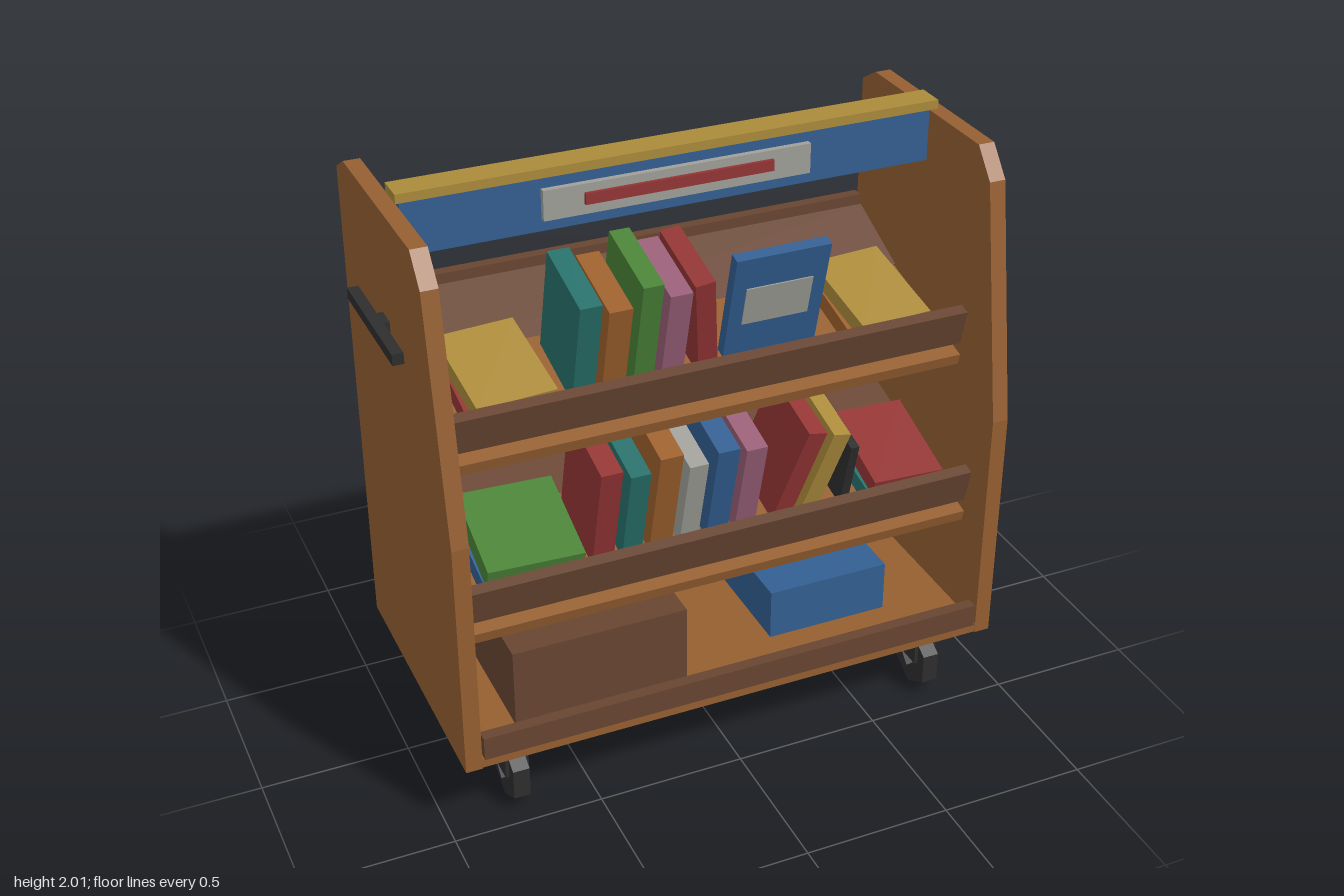
import * as THREE from 'three';

const COLORS = {
  wood: 0x955f31, brown: 0x684532, blue: 0x335f91, gold: 0xab8b3b, red: 0x933534, green: 0x4a8237,
  teal: 0x27706a, orange: 0x9d602c, pink: 0x985f77, pale: 0xa09f99, black: 0x2e2e2e, hub: 0x8a8a8a,
};
const materials = {};
for (const key in COLORS) {
  materials[key] = new THREE.MeshStandardMaterial({ color: COLORS[key], flatShading: true });
}

function addMesh(parent, name, geometry, color) {
  const mesh = new THREE.Mesh(geometry, materials[color]);
  mesh.name = name;
  parent.add(mesh);
  return mesh;
}

// Box given by its [min, max] range on each axis
function addBox(parent, name, color, [x0, x1], [y0, y1], [z0, z1]) {
  const mesh = addMesh(parent, name, new THREE.BoxGeometry(x1 - x0, y1 - y0, z1 - z0), color);
  mesh.position.set((x0 + x1) / 2, (y0 + y1) / 2, (z0 + z1) / 2);
  return mesh;
}

// Upright book on a shelf; lean turns it about its foot
function addBook(shelf, [color, x, width, height, lean = 0]) {
  const geometry = new THREE.BoxGeometry(width, height, 0.285);
  geometry.translate(0, height / 2, 0);
  const book = addMesh(shelf, 'uprightBook', geometry, color);
  book.position.set(x, 0, -0.0125);
  book.rotation.z = lean;
}

// Books lying flat: [color, x0, x1, thickness, turn], from the bottom up
function addStack(shelf, books) {
  let y = 0;
  for (const [color, x0, x1, thickness, turn] of books) {
    addBox(shelf, 'flatBook', color, [x0, x1], [y, y + thickness], [-0.165, 0.185]).rotation.y = turn;
    y += thickness;
  }
}

const TILT = 0.25;

// Shelf that slopes down to the front, with lip, sloping back board and rear rail
function addShelf(model, name, y, z, railY) {
  const shelf = new THREE.Group();
  shelf.name = name;
  shelf.position.set(0, y, z);
  shelf.rotation.x = TILT;
  model.add(shelf);
  addBox(shelf, 'shelfFloor', 'wood', [-0.875, 0.875], [-0.04, 0], [-0.2, 0.29]);
  addBox(shelf, 'frontLip', 'brown', [-0.878, 0.878], [0.033, 0.165], [0.23, 0.27]);

  addBox(model, 'rearRail', 'brown', [-0.882, 0.882], [railY, railY + 0.13], [-0.488, -0.448]);
  const rear = new THREE.Vector2(-0.45, railY + 0.08);
  const front = new THREE.Vector2(z - 0.19, y + 0.03);
  const mid = rear.clone().add(front).multiplyScalar(0.5);
  const board = addMesh(model, 'backBoard', new THREE.BoxGeometry(1.764, 0.035, rear.distanceTo(front)), 'brown');
  board.position.set(0, mid.y, mid.x);
  board.rotation.x = Math.atan2(rear.y - front.y, front.x - rear.x);
  return shelf;
}

export function createModel() {
  const model = new THREE.Group();
  model.name = 'bookCart';

  // Side panels, drawn in (z, y) and extruded along x
  const outline = [[0.485, 0.235], [0.485, 1.07], [0.35, 1.86], [0.27, 1.955],
    [-0.4, 1.955], [-0.485, 1.905], [-0.485, 0.235]];
  const panelShape = new THREE.Shape(outline.map(([z, y]) => new THREE.Vector2(-z, y)));
  const panel = new THREE.ExtrudeGeometry(panelShape, { depth: 0.055, bevelEnabled: false });
  panel.translate(0, 0, -0.0275);
  panel.rotateY(Math.PI / 2);
  for (const side of [-1, 1]) {
    addMesh(model, 'sidePanel', panel, 'wood').position.x = side * 0.9175;

    // Push handle with its mount
    const handle = new THREE.Group();
    handle.name = 'handle';
    model.add(handle);
    const bar = addBox(handle, 'handleBar', 'black', [-0.018, 0.018], [1.56, 1.597], [-0.267, 0.2]);
    bar.position.x = side * 0.982;
    const mount = addBox(handle, 'handleMount', 'black', [-0.015, 0.015], [1.56, 1.597], [-0.07, 0.0]);
    mount.position.x = side * 0.955;

    // Casters: fork, six-sided wheel and diamond hub
    for (const end of [-1, 1]) {
      const caster = new THREE.Group();
      caster.name = 'caster';
      caster.position.set(side * 0.75, 0, end * 0.35);
      model.add(caster);
      addBox(caster, 'fork', 'black', [-0.04, 0.04], [0.098, 0.236], [-0.052, 0.052]);
      const wheel = new THREE.CylinderGeometry(0.107, 0.107, 0.056, 6);
      wheel.rotateZ(Math.PI / 2);
      addMesh(caster, 'wheel', wheel, 'black').position.y = 0.093;
      wheel.rotateX(Math.PI / 2);
      const hub = new THREE.CylinderGeometry(0.04, 0.04, 0.078, 4);
      hub.rotateZ(Math.PI / 2);
      addMesh(caster, 'hub', hub, 'hub').position.y = 0.096;
    }
  }

  // Base tray
  addBox(model, 'baseBoard', 'wood', [-0.89, 0.89], [0.237, 0.27], [-0.483, 0.483]);
  for (const end of [-1, 1]) {
    addBox(model, 'baseRail', 'brown', [-0.882, 0.882], [0.268, 0.35], [-0.02, 0.02]).position.z = end * 0.467;
  }
  addBox(model, 'storageBox', 'brown', [-0.735, -0.137], [0.27, 0.55], [-0.335, 0.365]);
  addBox(model, 'smallBox', 'blue', [0.215, 0.647], [0.27, 0.45], [-0.29, 0.27]);

  // Header board with cap and blank sign
  addBox(model, 'headerBoard', 'blue', [-0.885, 0.88], [1.79, 1.972], [-0.08, -0.02]);
  addBox(model, 'headerCap', 'gold', [-0.9, 0.9], [1.97, 2], [-0.1, -0.003]);
  addBox(model, 'signPlate', 'pale', [-0.447, 0.447], [1.83, 1.93], [-0.03, 0]);
  addBox(model, 'signStripe', 'red', [-0.315, 0.315], [1.865, 1.902], [-0.01, 0.012]);

  // Upper shelf and books: [color, x, width, height, lean]
  const upper = addShelf(model, 'upperShelf', 1.295, 0, 1.36);
  [['teal', -0.385, 0.073, 0.38], ['orange', -0.285, 0.078, 0.342], ['green', -0.185, 0.068, 0.414],
    ['pink', -0.087, 0.075, 0.357], ['red', 0.042, 0.066, 0.385, 0.14]].forEach((b) => addBook(upper, b));
  addStack(upper, [['red', -0.775, -0.497, 0.06, 0], ['gold', -0.768, -0.503, 0.06, 0.06]]);
  addStack(upper, [['orange', 0.53, 0.79, 0.06, 0], ['gold', 0.54, 0.79, 0.055, 0.06]]);

  // Display book with a cover label showing on both faces
  addBox(upper, 'displayBook', 'blue', [0.117, 0.445], [0, 0.395], [0.035, 0.075]);
  addBox(upper, 'coverLabel', 'pale', [0.165, 0.397], [0.13, 0.275], [0.031, 0.079]);

  // Lower shelf and books
  const lower = addShelf(model, 'lowerShelf', 0.745, 0.1, 0.8);
  [['red', -0.37, 0.073, 0.4], ['teal', -0.27, 0.068, 0.363], ['orange', -0.17, 0.078, 0.414],
    ['pale', -0.07, 0.065, 0.347], ['blue', 0.03, 0.075, 0.383], ['pink', 0.13, 0.073, 0.363],
    ['red', 0.262, 0.068, 0.378, -0.22], ['gold', 0.362, 0.064, 0.345, -0.22],
    ['black', 0.497, 0.03, 0.26]].forEach((b) => addBook(lower, b));
  addStack(lower, [['blue', -0.785, -0.455, 0.065, 0], ['green', -0.775, -0.455, 0.075, -0.04]]);
  addStack(lower, [['teal', 0.565, 0.83, 0.06, 0], ['red', 0.58, 0.83, 0.06, -0.05]]);

  return model;
}
